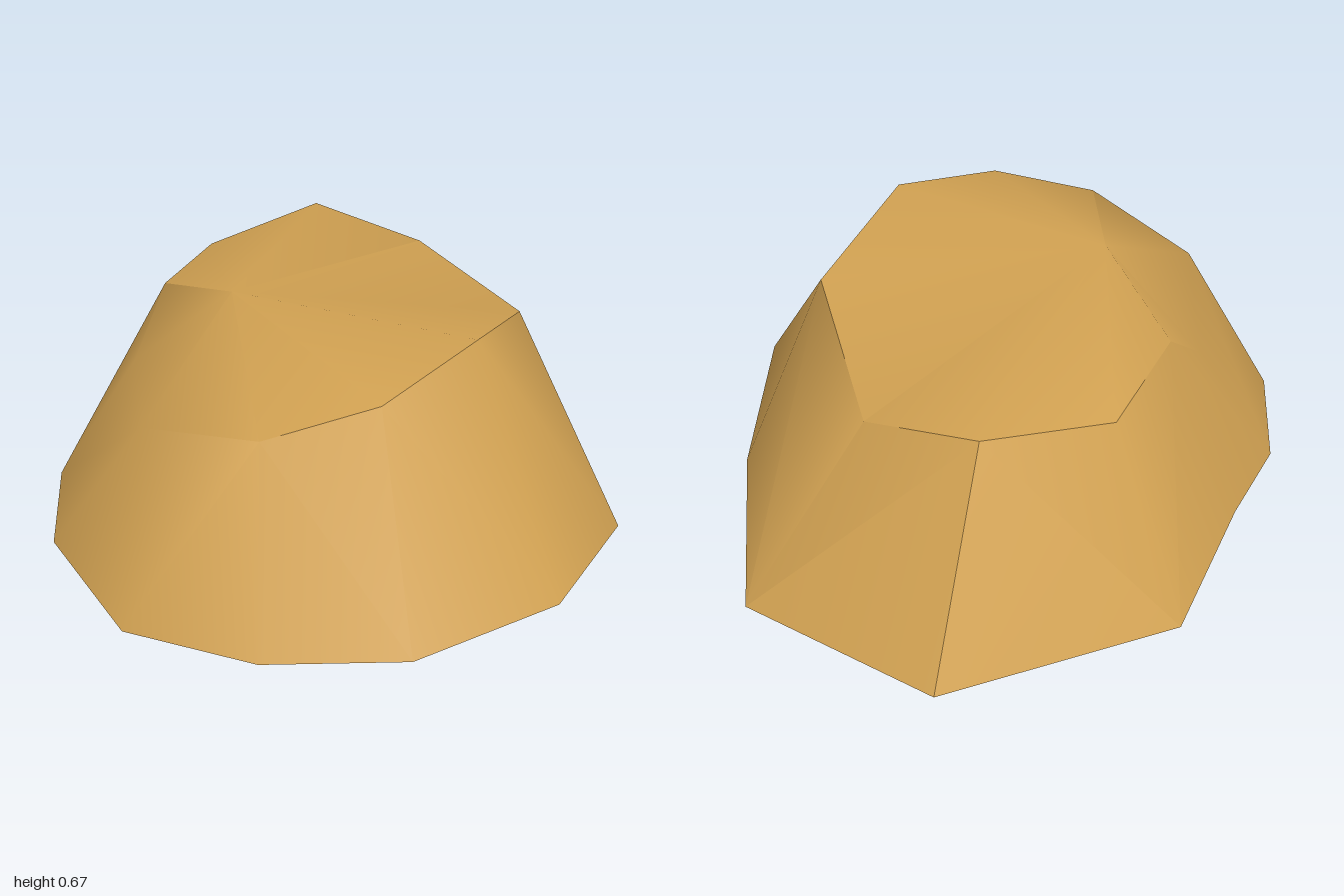
import * as THREE from 'three';
import { toCreasedNormals } from 'three/addons/utils/BufferGeometryUtils.js';

export function createModel() {
  const sandstone = new THREE.MeshStandardMaterial({ color: 0xd2a252, side: THREE.DoubleSide });
  sandstone.name = 'sandstone';
  const v = (x, y, z) => new THREE.Vector3(x, y, z);

  // Ground outline, clockwise from above, starting at the back
  const base = [
    [-0.17, -1], [0.38, -0.69], [0.84, -0.33], [0.945, 0.09], [0.82, 0.55], [0.54, 0.84],
    [0.18, 1], [-0.28, 0.88], [-0.56, 0.64], [-0.69, 0.37], [-0.945, -0.07], [-0.75, -0.76],
  ].map(([x, z]) => v(x, 0, z));

  // Shoulder of the rock; two corners each serve two ground points
  const shoulder = [
    v(-0.2, 0.495, -0.6), v(0.4, 0.535, -0.37), v(0.56, 0.65, 0.02), v(0.54, 0.585, 0.38),
    v(0.35, 0.51, 0.64), v(-0.03, 0.43, 0.73), v(-0.4, 0.385, 0.45), v(-0.47, 0.55, 0.26),
    v(-0.63, 0.52, -0.07), v(-0.53, 0.575, -0.45),
  ];
  const above = [0, 1, 1, 2, 3, 4, 5, 5, 6, 7, 8, 9].map((i) => shoulder[i]);
  const peak = v(-0.11, 0.665, 0.31);

  const points = [];
  const face = (...corners) => points.push(...corners);
  base.forEach((b0, i) => {
    const j = (i + 1) % base.length;
    const b1 = base[j], t0 = above[i], t1 = above[j];
    if (t0 === t1) {
      face(b1, b0, t0);
      return;
    }
    // Split each wall along the diagonal that bulges outwards
    const plane = new THREE.Plane().setFromCoplanarPoints(b1, b0, t0);
    if (plane.distanceToPoint(t1) <= 0) {
      face(b1, b0, t0);
      face(b1, t0, t1);
    } else {
      face(b1, b0, t1);
      face(b0, t0, t1);
    }
    // Crown slopes up to the peak
    face(t1, t0, peak);
  });

  // Soft shading that keeps only the sharper ridges
  const geometry = toCreasedNormals(new THREE.BufferGeometry().setFromPoints(points), 0.7);
  const rock = new THREE.Mesh(geometry, sandstone);
  rock.name = 'rock';

  const model = new THREE.Group();
  model.name = 'boulder';
  model.add(rock);
  return model;
}
